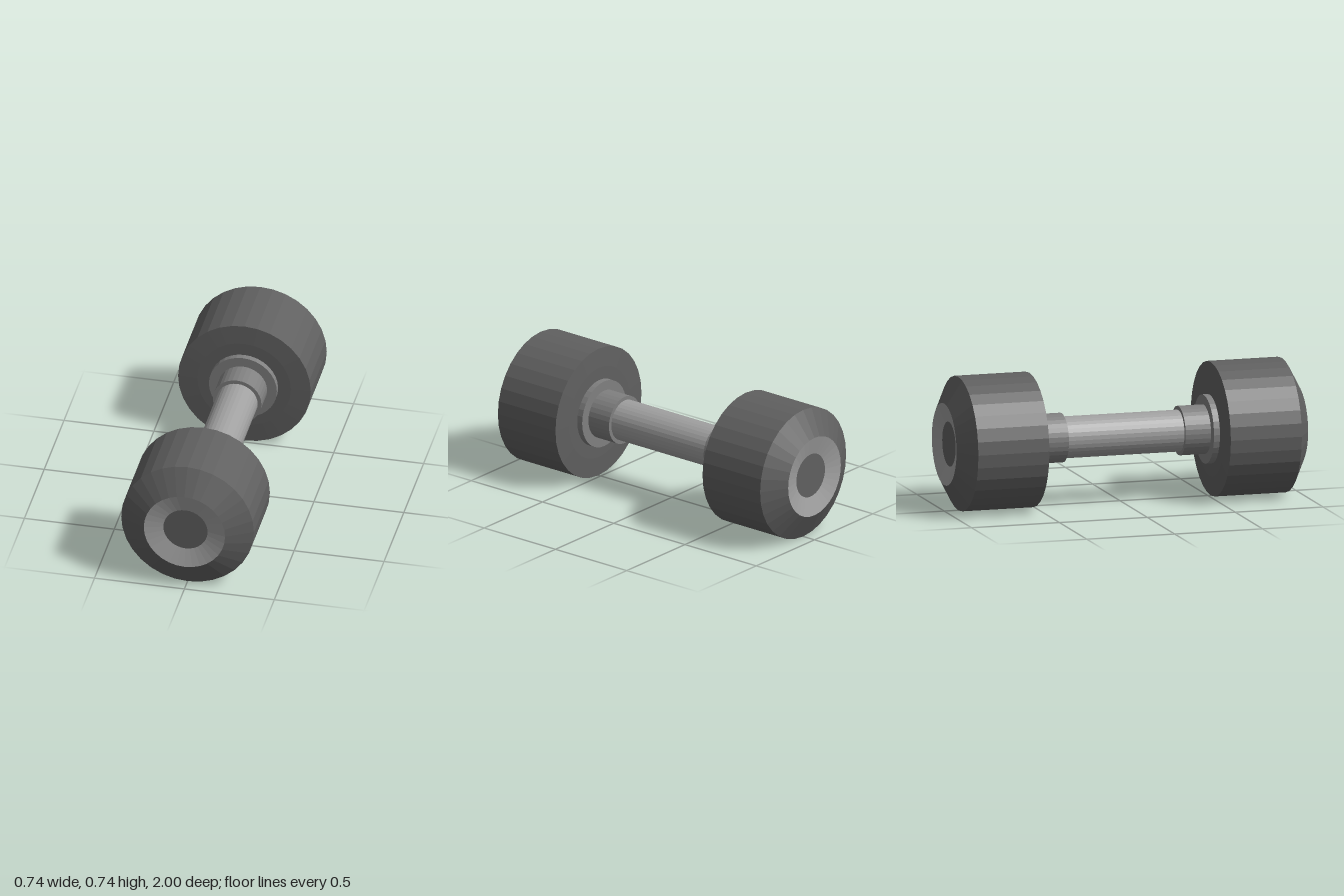
import * as THREE from 'three';

const SIDES = 32;
const AXIS_Y = 0.369;

const material = (color) => new THREE.MeshStandardMaterial({ color, flatShading: true });

// Revolves [radius, z] points, listed from low z to high z, around the z axis
function turned(name, points, mat) {
  const profile = points.map(([r, z]) => new THREE.Vector2(r, z));
  const mesh = new THREE.Mesh(new THREE.LatheGeometry(profile, SIDES).rotateX(Math.PI / 2), mat);
  mesh.name = name;
  return mesh;
}

export function createModel() {
  const rubber = material(0x606060);
  const collarMetal = material(0x808080);
  const gripMetal = material(0xa0a0a0);

  const model = new THREE.Group();
  model.name = 'dumbbell';

  // Straight bar between the two ends
  const handle = turned('handle', [[0.114, -0.34], [0.114, 0.34]], gripMetal);
  handle.position.y = AXIS_Y;
  model.add(handle);

  // Both ends are the same, turned to face outwards
  for (const [name, angle] of [['frontEnd', 0], ['backEnd', Math.PI]]) {
    const end = new THREE.Group();
    end.name = name;
    end.position.y = AXIS_Y;
    end.rotation.y = angle;

    end.add(
      // Weight with a chamfered outer rim
      turned('weight', [[0, 0.51], [0.26, 0.51], [0.369, 0.516], [0.369, 0.92], [0.226, 1]], rubber),
      // Shallow dished ring set into the outer face
      turned('dishedRing', [[0.226, 1], [0.123, 0.973]], gripMetal),
      // Flat disc at the bottom of the dish
      turned('centreDisc', [[0.123, 0.973], [0, 0.973]], rubber),
      // Stepped collar where the handle meets the weight
      turned('collar', [[0.113, 0.332], [0.135, 0.332], [0.135, 0.476]], collarMetal),
      turned('flange', [[0.134, 0.476], [0.189, 0.476], [0.189, 0.512]], collarMetal),
    );
    model.add(end);
  }
  return model;
}
